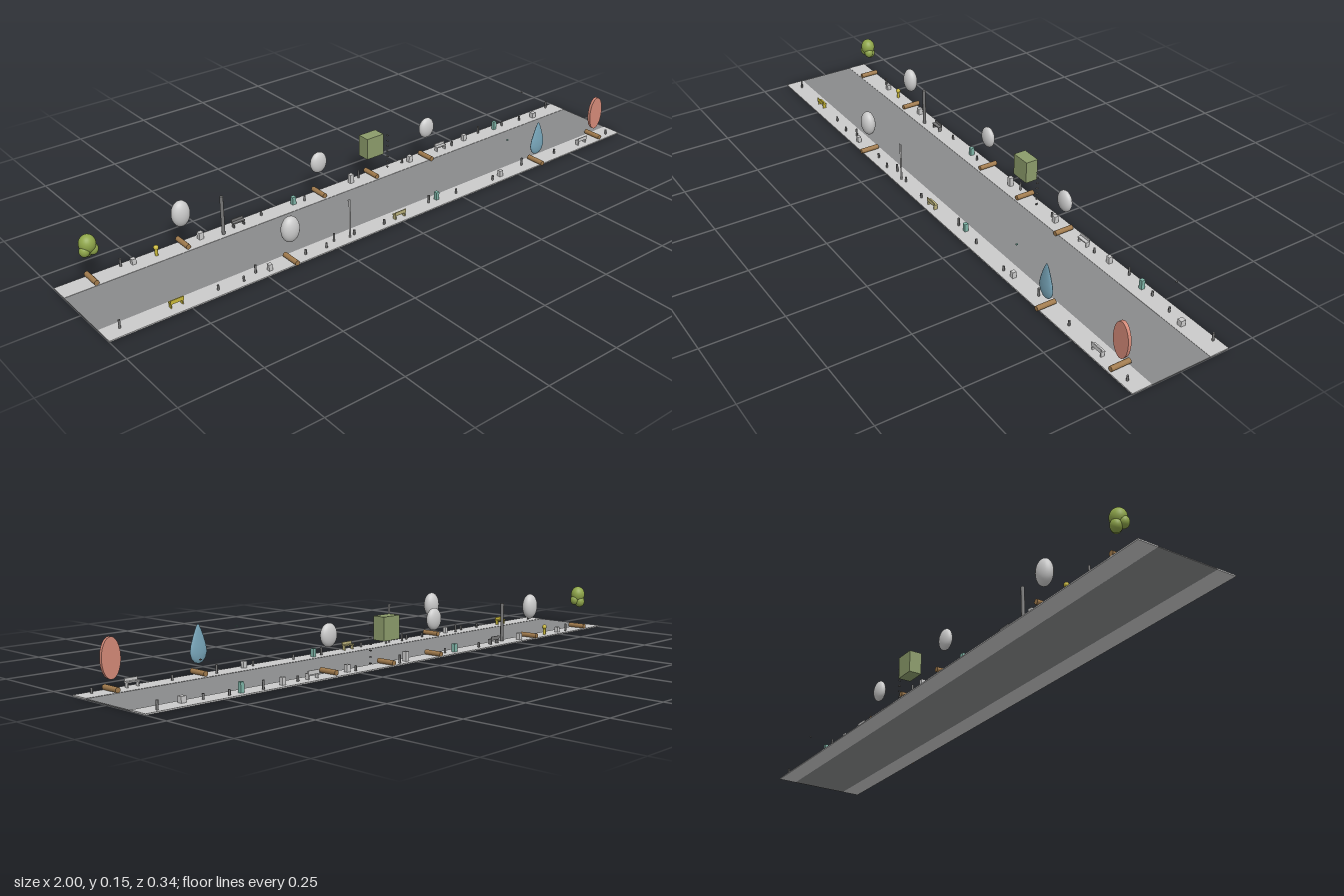
import * as THREE from 'three';

const mats = {};
const mat = (c = 0xcccccc) => (mats[c] ??= new THREE.MeshStandardMaterial({ color: c }));
const BROWN = 0xa07a4c, TEAL = 0x7fb5a8, YELLOW = 0xc9b83a, DARK = 0x777777;

export function createModel() {
  const root = new THREE.Group();

  const add = (parent, name, geo, color, x, y, z) => {
    const m = new THREE.Mesh(geo, mat(color));
    m.name = name;
    m.position.set(x, y, z);
    parent.add(m);
    return m;
  };
  const box = (p, name, w, h, d, color, x, y, z) => add(p, name, new THREE.BoxGeometry(w, h, d), color, x, y, z);
  const cyl = (p, name, r, h, color, x, y, z, n = 10) => add(p, name, new THREE.CylinderGeometry(r, r, h, n), color, x, y, z);
  const group = (name, x, z) => {
    const g = new THREE.Group();
    g.name = name;
    g.position.set(x, 0, z);
    root.add(g);
    return g;
  };
  const ball = (p, rx, ry, rz, color, x, y, z) =>
    add(p, 'canopy', new THREE.SphereGeometry(1, 24, 16).scale(rx, ry, rz), color, x, y, z);

  // Road and the two pavements
  box(root, 'road', 2, 0.003, 0.197, 0x8a8b8c, 0, 0.0015, -0.003);
  box(root, 'frontPavement', 2, 0.004, 0.064, undefined, 0, 0.002, 0.127);
  box(root, 'backPavement', 2, 0.004, 0.064, undefined, 0, 0.002, -0.133);

  // Trees: a trunk lying across the pavement and a canopy above it
  const tree = (x, z) => {
    const g = group('tree', x, z);
    cyl(g, 'trunk', 0.008, 0.063, BROWN, 0, 0.012, 0, 12).rotation.x = Math.PI / 2;
    return g;
  };
  // Egg-shaped canopies: x, z, middle height, half height, half depth
  for (const [x, z, y, ry, rz] of [
    [-0.6, -0.14, 0.111, 0.042, 0.022],
    [-0.1, -0.139, 0.119, 0.035, 0.016],
    [0.337, -0.121, 0.117, 0.035, 0.016],
    [-0.405, 0.135, 0.111, 0.041, 0.022],
  ]) ball(tree(x, z), 0.03, ry, rz, undefined, 0, y, 0);

  // Clustered canopy
  const cluster = tree(-0.9, -0.133);
  for (const [x, y, z, r] of [
    [0, 0.125, 0, 0.028], [-0.013, 0.108, 0.006, 0.018], [0.013, 0.106, 0.004, 0.018], [0, 0.1, -0.008, 0.02],
  ]) ball(cluster, r * 0.9, r, r * 0.85, 0x8fa64a, x, y, z);

  // Block canopy
  box(tree(0.113, -0.137), 'canopy', 0.067, 0.072, 0.042, 0x8c9c6b, 0, 0.116, 0);

  // Thin teardrop canopy
  const drop = [[0, 0.037], [0.014, 0.041], [0.025, 0.053], [0.03, 0.07], [0.027, 0.09],
    [0.019, 0.115], [0.011, 0.135], [0.005, 0.147], [0, 0.152]].map(([a, b]) => new THREE.Vector2(a, b));
  add(tree(0.602, 0.137), 'canopy', new THREE.LatheGeometry(drop, 24).scale(1, 1, 0.29), 0x78a6ba, 0, 0, 0);

  // Flat disc canopy
  const disc = new THREE.CylinderGeometry(1, 1, 0.01, 32).rotateX(Math.PI / 2).scale(0.03, 0.0575, 1);
  add(tree(0.905, 0.122), 'canopy', disc, 0xd48a78, 0, 0.0945, 0);

  // Lamp poles
  cyl(root, 'lampPole', 0.0055, 0.13, DARK, -0.472, 0.067, -0.12);
  cyl(root, 'lampPole', 0.003, 0.13, undefined, -0.19, 0.067, 0.135);
  box(root, 'lampArm', 0.008, 0.003, 0.003, undefined, -0.193, 0.131, 0.135);

  // Column of small floating blades, and two single markers
  for (let i = 0; i < 7; i++) box(root, 'blade', 0.005, 0.003, 0.008, DARK, 0.18, 0.016 + i * 0.019, -0.135);
  box(root, 'marker', 0.005, 0.003, 0.006, TEAL, 0.46, 0.13, 0.137);
  box(root, 'marker', 0.005, 0.003, 0.006, DARK, 0.81, 0.11, -0.14);

  // Benches
  for (const [x, z, c] of [
    [-0.78, 0.124, YELLOW], [0.003, 0.135, 0xb9b07a], [0.83, 0.134, undefined],
    [-0.41, -0.134, DARK], [0.417, -0.136, undefined],
  ]) {
    const g = group('bench', x, z);
    box(g, 'seat', 0.042, 0.004, 0.014, c, 0, 0.019, 0);
    box(g, 'backrest', 0.042, 0.009, 0.003, c, 0, 0.025, -Math.sign(z) * -0.006);
    for (const s of [-1, 1]) box(g, 'leg', 0.003, 0.014, 0.012, c, s * 0.018, 0.011, 0);
  }

  // Boxes and bins: x, z, width, height, colour
  for (const [x, z, w, h, c] of [
    [-0.2, -0.14, 0.013, 0.026, TEAL], [0.17, 0.12, 0.012, 0.026, TEAL], [0.678, -0.14, 0.012, 0.03, TEAL],
    [-0.54, -0.141, 0.015, 0.022], [0.03, -0.14, 0.014, 0.03], [0.277, -0.135, 0.014, 0.022],
    [0.532, -0.141, 0.013, 0.022], [0.86, -0.125, 0.016, 0.018], [-0.765, -0.14, 0.013, 0.018],
    [-0.48, 0.135, 0.012, 0.02], [0.44, 0.132, 0.013, 0.02],
  ]) box(root, 'streetBox', w, h, w, c, x, 0.004 + h / 2, z);

  // Hydrant
  const hydrant = group('hydrant', -0.69, -0.139);
  cyl(hydrant, 'body', 0.005, 0.024, YELLOW, 0, 0.016, 0);
  add(hydrant, 'cap', new THREE.SphereGeometry(0.008, 12, 8), YELLOW, 0, 0.03, 0);

  // Bollards along each pavement
  const rows = [
    [0.13, [-0.95, -0.65, -0.57, -0.52, -0.35, -0.28, -0.24, -0.17, -0.06, 0.135, 0.245, 0.4, 0.55, 0.7, 0.955]],
    [-0.143, [-0.8, -0.32, -0.16, 0.07, 0.25, 0.47, 0.61, 0.72, 0.8, 0.955]],
  ];
  for (const [z, xs] of rows) xs.forEach((x, i) => {
    const h = i % 3 ? 0.016 : 0.026;
    cyl(root, 'bollard', 0.0035, h, DARK, x, 0.004 + h / 2, z + ((i % 3) - 1) * 0.008, 8);
  });

  return root;
}
